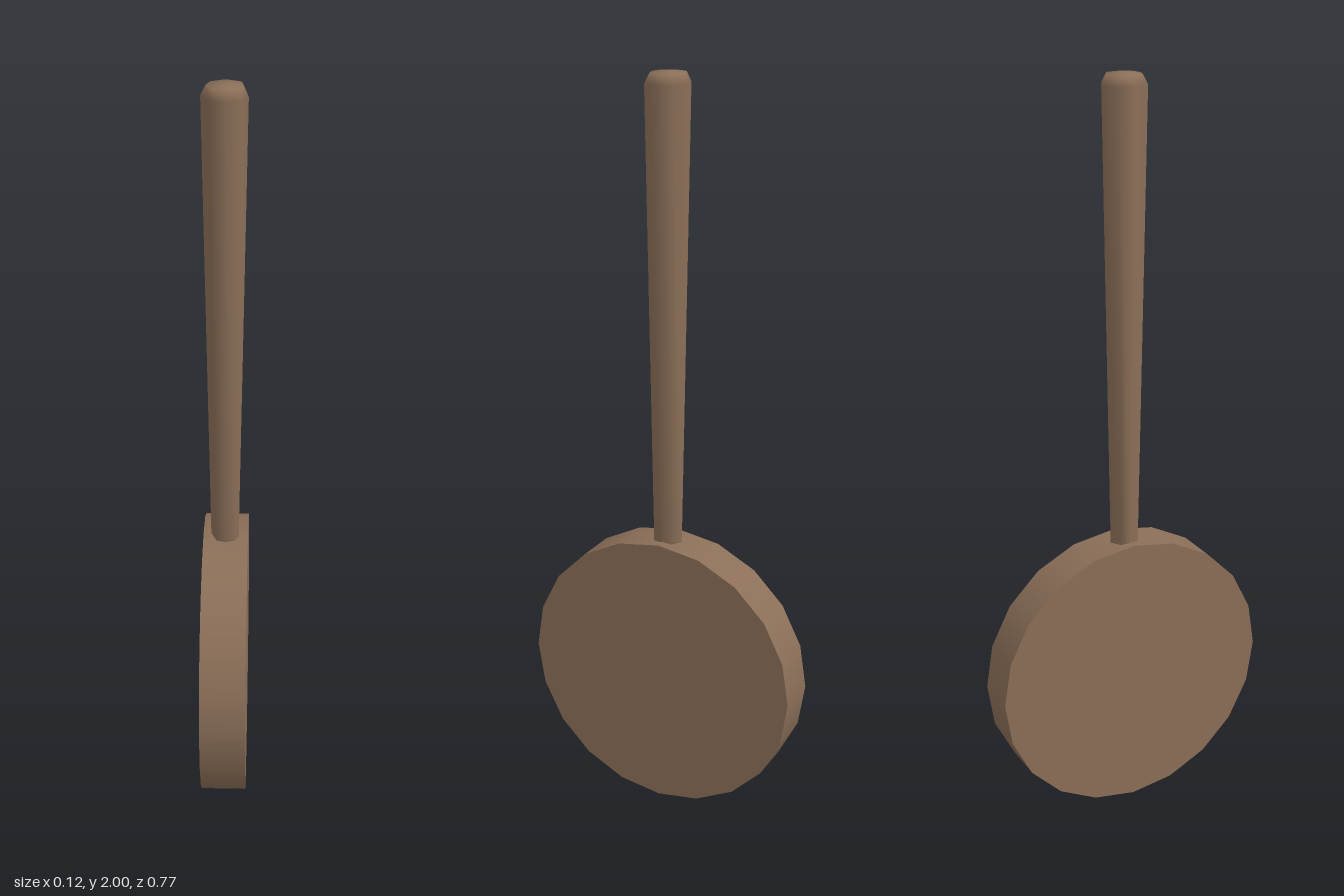
import * as THREE from 'three';
import { mergeVertices } from 'three/addons/utils/BufferGeometryUtils.js';

// Slightly uneven, hand-carved eight-sided outline [x, z] at full thickness
const OUTLINE = [
  [0, 0.057], [0.041, 0.045], [0.054, 0.015], [0.048, -0.036],
  [0, -0.06], [-0.048, -0.038], [-0.06, 0], [-0.037, 0.047],
];

// Tapered eight-sided stick: [scale, y] rings swept round the uneven outline
function carvedStick(profile) {
  const points = profile.map(([s, y]) => new THREE.Vector2(s, y));
  const geo = new THREE.LatheGeometry(points, OUTLINE.length);
  const pos = geo.attributes.position;
  for (let i = 0; i < pos.count; i++) {
    const [x, z] = OUTLINE[Math.floor(i / profile.length) % OUTLINE.length];
    const scale = profile[i % profile.length][0];
    pos.setXYZ(i, x * scale, pos.getY(i), z * scale);
  }
  geo.deleteAttribute('uv');
  geo.deleteAttribute('normal');
  const merged = mergeVertices(geo);
  merged.computeVertexNormals();
  return merged;
}

export function createModel() {
  const group = new THREE.Group();
  const wood = new THREE.MeshStandardMaterial({ color: 0x8b6f58 });

  // Round flat head, its axis running along x
  const headGeo = new THREE.CylinderGeometry(0.385, 0.385, 0.12, 20);
  headGeo.rotateZ(Math.PI / 2);
  const head = new THREE.Mesh(headGeo, wood);
  head.name = 'discHead';
  head.position.y = 0.385;
  group.add(head);

  // Handle widening upwards to a bevelled end
  const handle = new THREE.Mesh(carvedStick([
    [0, 0.745], [0.64, 0.745], [0.65, 0.77], [1, 1.97], [0.78, 1.995], [0, 2],
  ]), wood);
  handle.name = 'handle';
  group.add(handle);

  return group;
}
